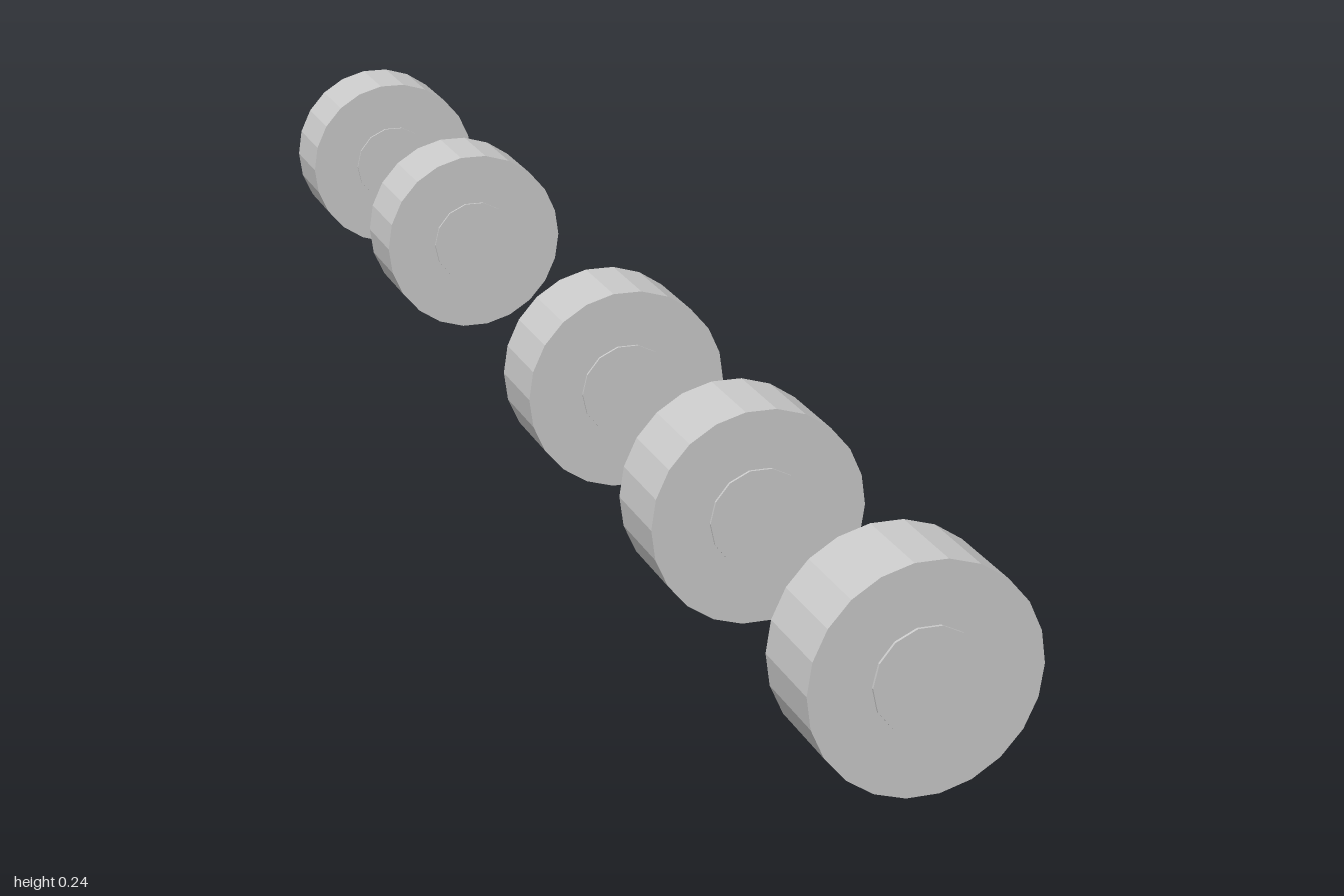
import * as THREE from 'three';

const material = new THREE.MeshStandardMaterial({ color: 0xcccccc, flatShading: true });

// Disc lying along z, turned so a flat facet faces down
function disc(name, radius, width, sides) {
  const geometry = new THREE.CylinderGeometry(radius, radius, width, sides, 1, false, Math.PI / 2);
  geometry.rotateX(Math.PI / 2);
  const mesh = new THREE.Mesh(geometry, material);
  mesh.name = name;
  return mesh;
}

// Wheel with a hub standing slightly proud on both faces
function createWheel() {
  const wheel = new THREE.Group();
  wheel.add(disc('tyre', 0.119, 0.101, 22), disc('hub', 0.055, 0.107, 14));
  return wheel;
}

export function createModel() {
  const model = new THREE.Group();
  model.name = 'wheelRow';

  // Three wheels in the front set, two in the rear set
  const spacing = 0.4207;
  [2.25, 1.25, 0.25, -1.25, -2.25].forEach((step, i) => {
    const wheel = createWheel();
    wheel.name = i < 3 ? `frontWheel${i + 1}` : `rearWheel${i - 2}`;
    wheel.position.set(0, 0.119 * Math.cos(Math.PI / 22), step * spacing);
    model.add(wheel);
  });
  return model;
}
